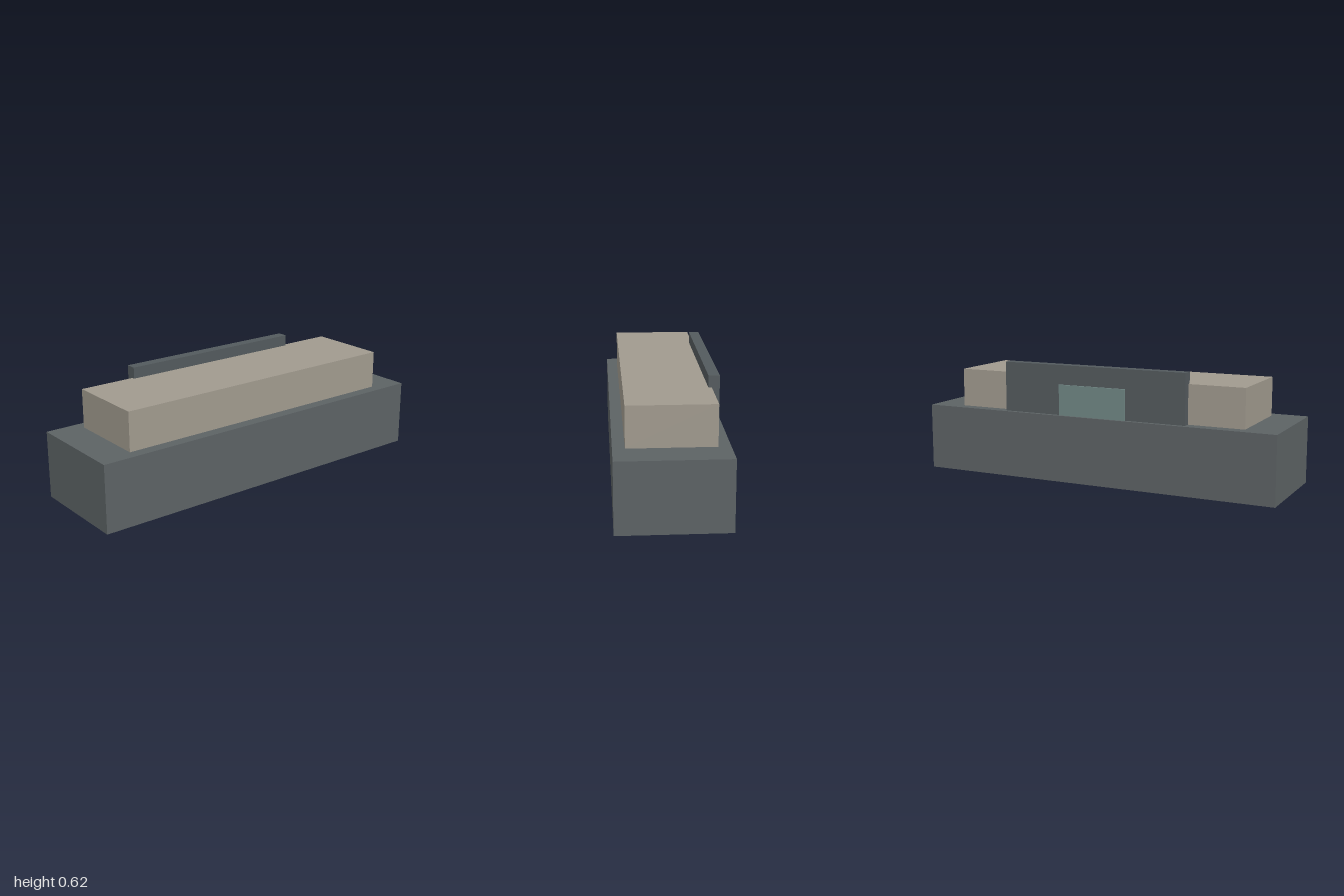
import * as THREE from 'three';

// Box given by its width (centred on x) and its extents in y and z
function block(name, color, width, [y0, y1], [z0, z1]) {
  const mesh = new THREE.Mesh(
    new THREE.BoxGeometry(width, y1 - y0, z1 - z0),
    new THREE.MeshStandardMaterial({ color })
  );
  mesh.name = name;
  mesh.position.set(0, (y0 + y1) / 2, (z0 + z1) / 2);
  return mesh;
}

export function createModel() {
  const model = new THREE.Group();
  model.name = 'steppedBlock';
  const baseTop = 0.357;

  model.add(
    // Wide plinth
    block('base', 0x5c6264, 2, [0, baseTop], [-0.278, 0.278]),
    // Narrower block resting on the plinth
    block('upperBlock', 0xa09a8e, 1.64, [baseTop, 0.563], [-0.217, 0.218]),
    // Upright slab let into the rear of the upper block
    block('backPanel', 0x535a5d, 1.04, [baseTop, 0.623], [-0.256, -0.2]),
    // Thin plate on the rear of the slab
    block('rearPlate', 0x708684, 0.38, [baseTop, 0.52], [-0.267, -0.256])
  );
  return model;
}
